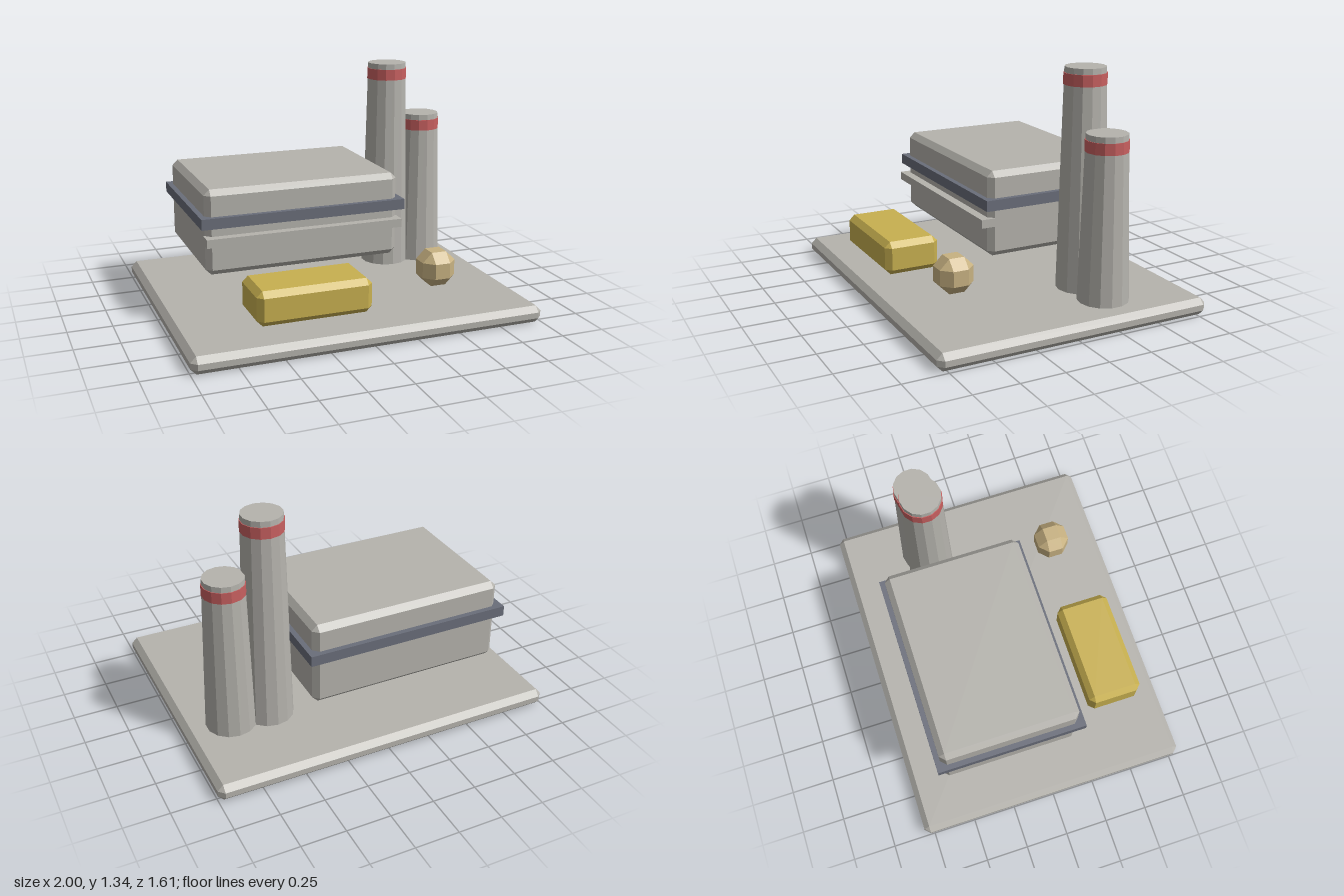
import * as THREE from 'three';
import { ConvexGeometry } from 'three/addons/geometries/ConvexGeometry.js';

const material = (name, color) => {
  const m = new THREE.MeshStandardMaterial({ color, flatShading: true });
  m.name = name;
  return m;
};

// Box with every edge bevelled and triangular corners
function chamferBox(w, h, d, c) {
  const points = [];
  for (const sx of [-1, 1]) for (const sy of [-1, 1]) for (const sz of [-1, 1]) {
    for (let axis = 0; axis < 3; axis++) {
      const inset = [c, c, c];
      inset[axis] = 0;
      points.push(new THREE.Vector3(
        sx * (w / 2 - inset[0]), sy * (h / 2 - inset[1]), sz * (d / 2 - inset[2])));
    }
  }
  return new ConvexGeometry(points);
}

export function createModel() {
  const group = new THREE.Group();
  group.name = 'powerPlant';

  const concrete = material('concreteGrey', 0xb5b3ad);
  const slate = material('slateBlue', 0x6a6e7a);
  const yellow = material('yellow', 0xc8b050);
  const tan = material('tan', 0xc8b282);
  const red = material('warningRed', 0xc86060);

  const add = (name, geometry, mat, x, y, z) => {
    const mesh = new THREE.Mesh(geometry, mat);
    mesh.name = name;
    mesh.position.set(x, y, z);
    group.add(mesh);
  };

  // Block given by its extents on each axis; bevel 0 is a plain box
  const block = (name, mat, [x0, x1], [y0, y1], [z0, z1], bevel = 0) => {
    const size = [x1 - x0, y1 - y0, z1 - z0];
    const geometry = bevel ? chamferBox(...size, bevel) : new THREE.BoxGeometry(...size);
    add(name, geometry, mat, (x0 + x1) / 2, (y0 + y1) / 2, (z0 + z1) / 2);
  };

  // Ground slab and main hall with its bands
  block('baseSlab', concrete, [-1, 1], [0, 0.097], [-0.803, 0.803], 0.032);
  block('mainHall', concrete, [-0.76, 0.37], [0.295, 0.777], [-0.6, 0.21], 0.032);
  block('hallBand', slate, [-0.79, 0.4], [0.57, 0.63], [-0.63, 0.24]);
  block('frontLedge', concrete, [-0.768, 0.376], [0.472, 0.52], [0.18, 0.26]);

  // Small items in the front yard
  block('yellowContainer', yellow, [-0.615, 0.027], [0.15, 0.342], [0.357, 0.677], 0.032);
  block('tanTank', tan, [0.385, 0.58], [0.195, 0.39], [0.385, 0.58], 0.054);

  // Tapered chimneys with a red ring below the rim
  for (const [name, x, top] of [['tallChimney', 0.515, 1.34], ['shortChimney', 0.74, 1.02]]) {
    const height = top - 0.09;
    add(name, new THREE.CylinderGeometry(0.114, 0.143, height, 14), concrete, x, 0.09 + height / 2, -0.29);
    add(name + 'Ring', new THREE.CylinderGeometry(0.119, 0.119, 0.064, 14), red, x, top - 0.064, -0.29);
  }

  return group;
}
